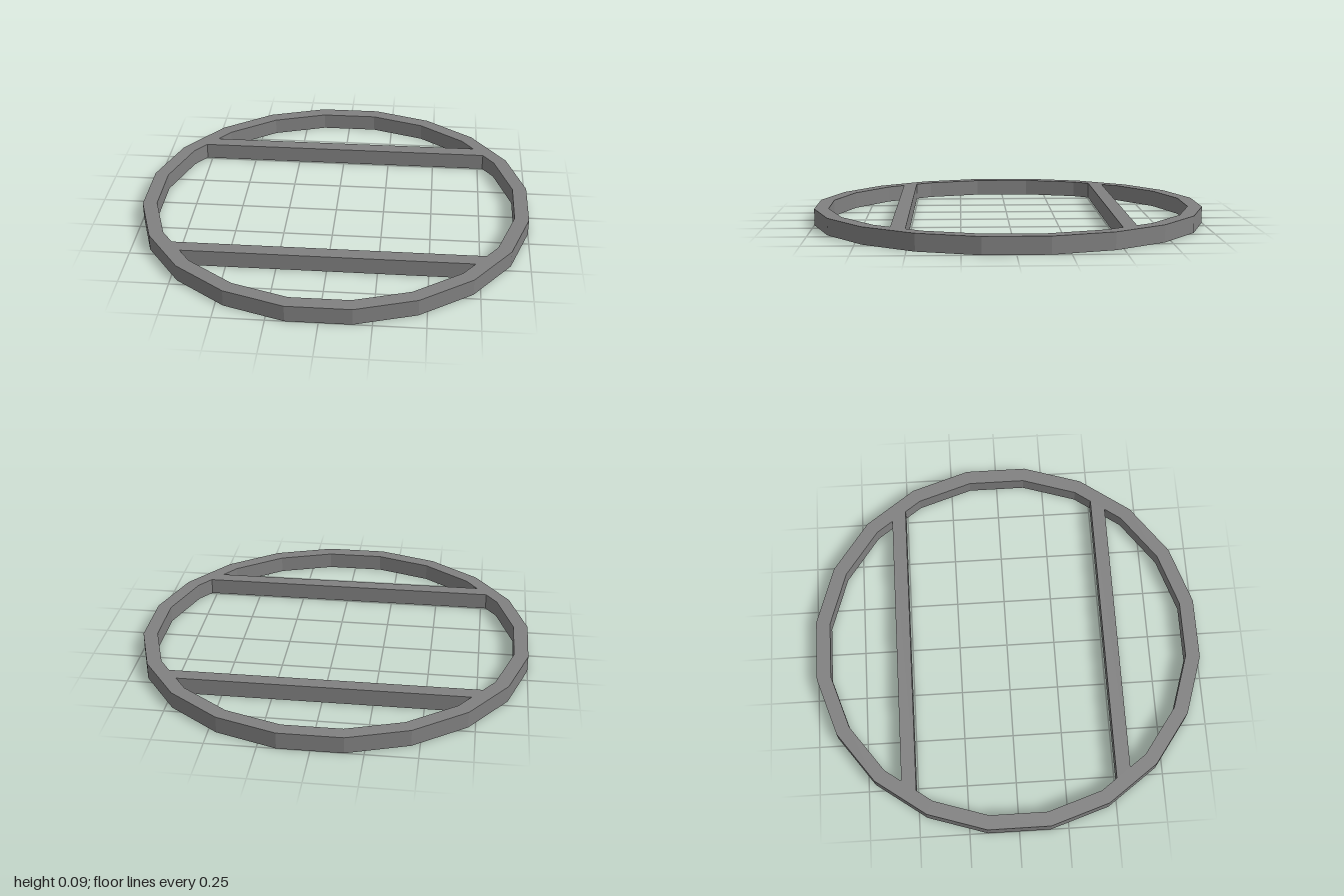
import * as THREE from 'three';

const SIDES = 20, HEIGHT = 0.085;
const OUTER = 1, INNER = 0.927;         // centre to flat side
const BAR_IN = 0.507, BAR_OUT = 0.58;   // crossbar edges

// Regular polygon with flat sides facing the axes
function ringPoints(apothem) {
  const r = apothem / Math.cos(Math.PI / SIDES);
  return Array.from({ length: SIDES }, (_, i) => {
    const a = ((i + 0.5) / SIDES) * Math.PI * 2;
    return new THREE.Vector2(r * Math.cos(a), r * Math.sin(a));
  });
}

// Keep the part of a convex polygon where sign * y <= sign * limit
function clip(points, limit, sign) {
  const out = [];
  points.forEach((p, i) => {
    const q = points[(i + 1) % points.length];
    const dp = sign * (p.y - limit), dq = sign * (q.y - limit);
    if (dp <= 0) out.push(p);
    if (dp * dq < 0) out.push(p.clone().lerp(q, dp / (dp - dq)));
  });
  return out;
}

export function createModel() {
  const group = new THREE.Group();
  group.name = 'ringWithCrossbars';

  // Ring and two crossbars: an outline with three openings between the bars
  const inner = ringPoints(INNER);
  const openings = [
    clip(inner, BAR_OUT, -1),
    clip(clip(inner, BAR_IN, 1), -BAR_IN, -1),
    clip(inner, -BAR_OUT, 1),
  ];
  const outline = new THREE.Shape(ringPoints(OUTER));
  outline.holes = openings.map((points) => new THREE.Path(points));

  const geometry = new THREE.ExtrudeGeometry(outline, { depth: HEIGHT, bevelEnabled: false });
  geometry.rotateX(-Math.PI / 2);

  const frame = new THREE.Mesh(
    geometry,
    new THREE.MeshStandardMaterial({ color: 0x808080, flatShading: true })
  );
  frame.name = 'frame';
  group.add(frame);
  return group;
}
